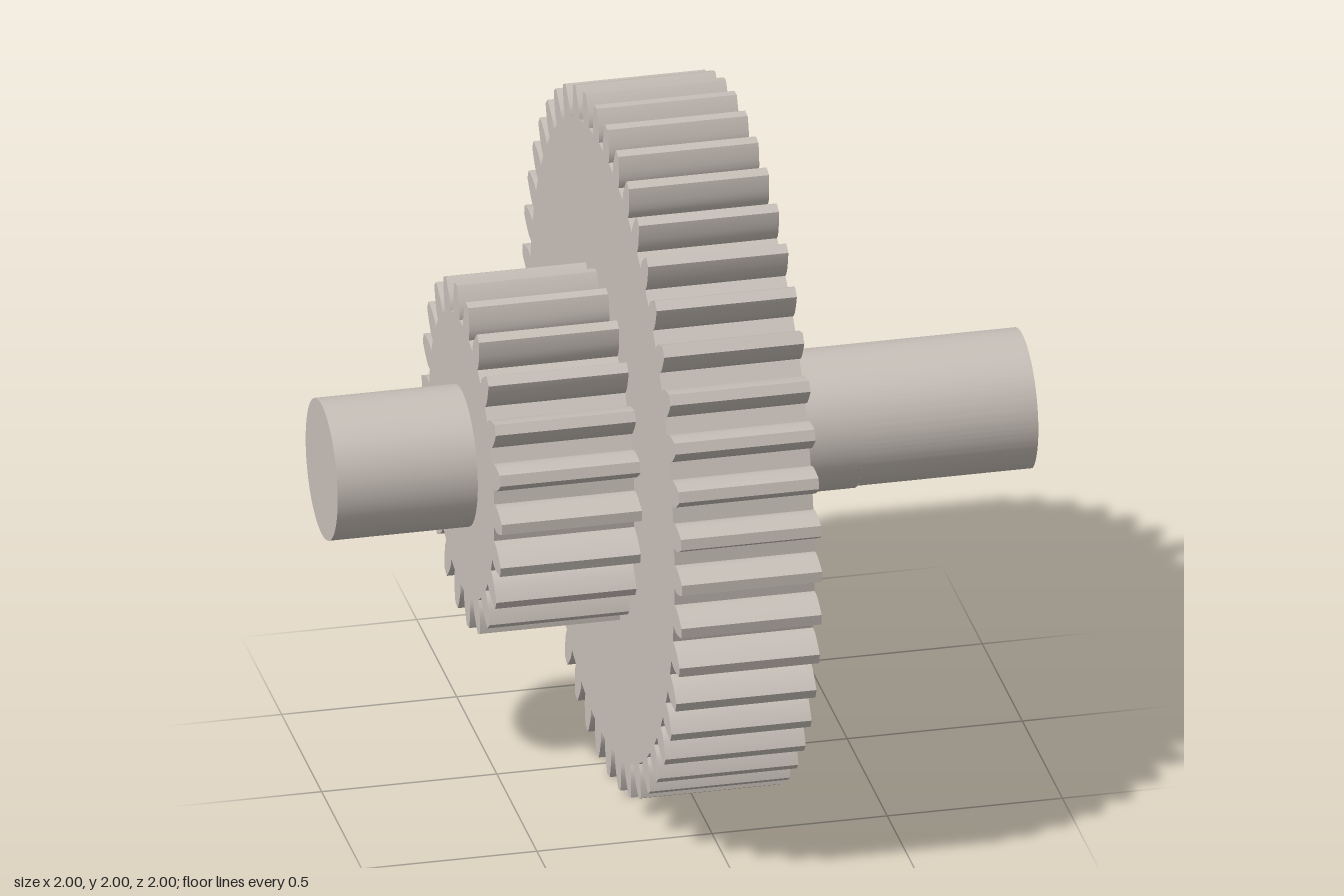
import * as THREE from 'three';
import { toCreasedNormals } from 'three/addons/utils/BufferGeometryUtils.js';

const MODULE = 2 / 48; // tooth size shared by both gears
const PHASE = THREE.MathUtils.degToRad(-0.8);
const TILT = THREE.MathUtils.degToRad(3.1);

// Half tooth: [height from pitch circle, half width], root to tip
const FLANK = [
  [-0.052, 0.035], [-0.035, 0.0385], [-0.018, 0.0375], [0, 0.0327],
  [0.015, 0.0272], [0.03, 0.0212], [MODULE, 0.0155],
];

// Extrudes an outline along the shaft, from x0 to x1
function alongX(shape, x0, x1, crease = 0.6) {
  const flat = new THREE.ExtrudeGeometry(shape, { depth: x1 - x0, bevelEnabled: false, curveSegments: 64 });
  const geometry = toCreasedNormals(flat, crease);
  geometry.rotateY(Math.PI / 2);
  geometry.translate(x0, 1, 0);
  return geometry;
}

function gearShape(teeth) {
  const pitch = teeth * MODULE / 2;
  const points = [];
  const add = (angle, h, w) => {
    const r = pitch + h;
    const a = angle + w / r;
    points.push(new THREE.Vector2(r * Math.cos(a), r * Math.sin(a)));
  };
  for (let i = 0; i < teeth; i++) {
    const angle = PHASE + i * 2 * Math.PI / teeth;
    FLANK.forEach(([h, w]) => add(angle, h, -w));
    [...FLANK].reverse().forEach(([h, w]) => add(angle, h, w));
  }
  return new THREE.Shape(points);
}

// Round shaft outline with a flat on its underside
function flattedShape(radius, distance) {
  const half = Math.acos(distance / radius);
  const down = -Math.PI / 2 + TILT;
  const shape = new THREE.Shape();
  shape.absarc(0, 0, radius, down + half, down - half + 2 * Math.PI, false);
  shape.closePath();
  return shape;
}

export function createModel() {
  const group = new THREE.Group();
  group.name = 'compoundGear';
  const metal = new THREE.MeshStandardMaterial({ color: 0xc8c0b9 });
  metal.name = 'warm grey metal';

  const add = (name, geometry) => {
    const mesh = new THREE.Mesh(geometry, metal);
    mesh.name = name;
    group.add(mesh);
  };

  // Gears
  add('largeGear', alongX(gearShape(46), -0.2, 0.2));
  add('smallGear', alongX(gearShape(22), -0.6, -0.2));

  // Shaft
  const round = new THREE.CylinderGeometry(0.2, 0.2, 1.5, 64);
  round.rotateZ(-Math.PI / 2);
  round.translate(-0.25, 1, 0);
  add('shaft', round);
  add('flattedShaftEnd', alongX(flattedShape(0.2, 0.147), 0.5, 1));

  return group;
}
